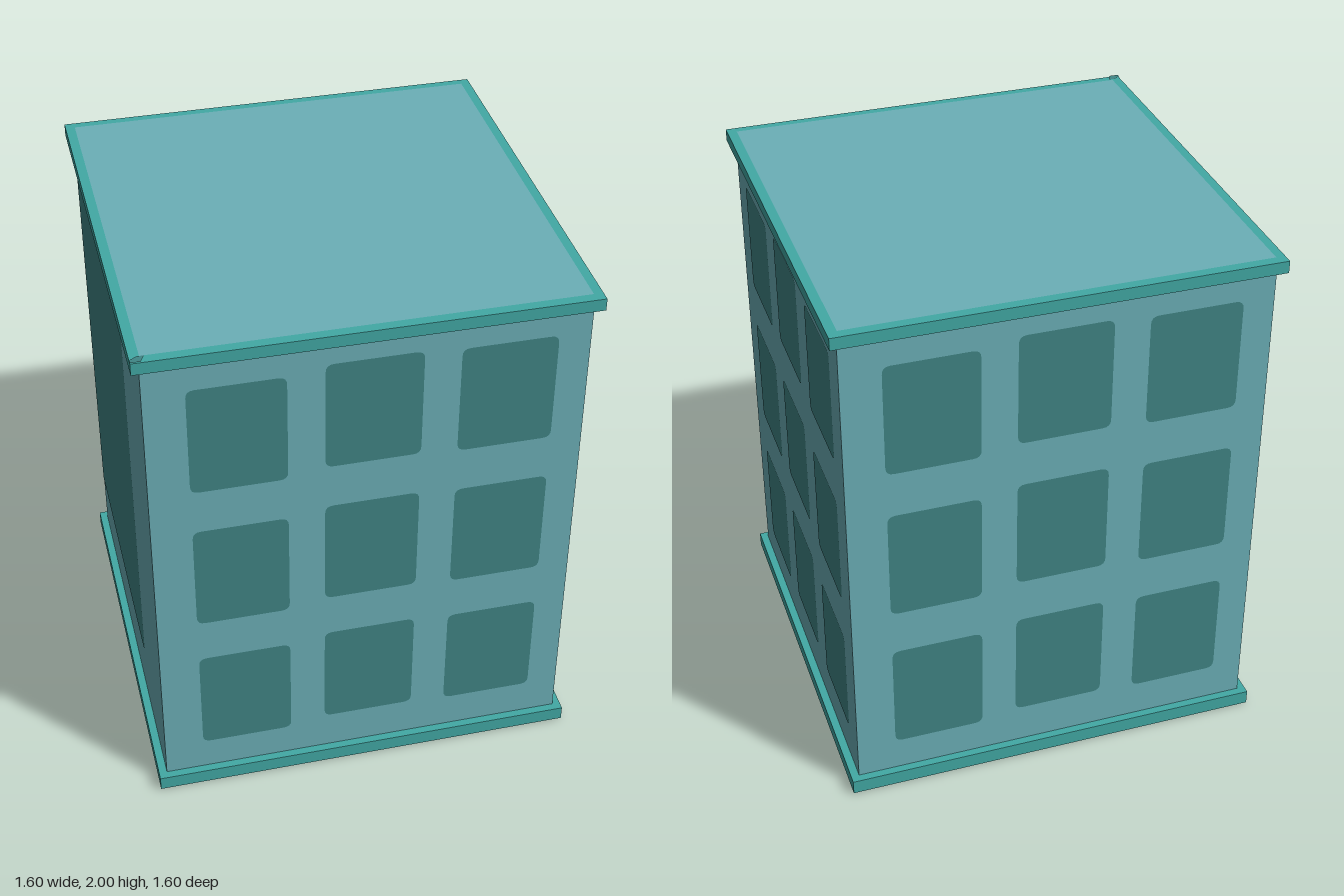
import * as THREE from 'three';

const HALF = 0.77;   // half width of the walls
const RIM = 0.8;     // half width of the base and roof slabs
const PAINT = 0.002; // offset of painted faces

const wallBlue = new THREE.MeshStandardMaterial({ color: 0x6cb0b8 });
const windowGreen = new THREE.MeshStandardMaterial({ color: 0x408585 });
const trimTeal = new THREE.MeshStandardMaterial({ color: 0x42a9a5 });

function add(parent, name, geometry, material) {
  const mesh = new THREE.Mesh(geometry, material);
  mesh.name = name;
  parent.add(mesh);
  return mesh;
}

function slab(parent, name, half, y0, y1, material) {
  const mesh = add(parent, name, new THREE.BoxGeometry(half * 2, y1 - y0, half * 2), material);
  mesh.position.y = (y0 + y1) / 2;
}

// Flat rectangle with its own radius at each corner: [lower left, lower right, upper right, upper left]
function panel(x0, y0, x1, y1, [a, b, c, d]) {
  const s = new THREE.Shape();
  s.moveTo(x0 + a, y0);
  s.lineTo(x1 - b, y0);
  if (b) s.quadraticCurveTo(x1, y0, x1, y0 + b);
  s.lineTo(x1, y1 - c);
  if (c) s.quadraticCurveTo(x1, y1, x1 - c, y1);
  s.lineTo(x0 + d, y1);
  if (d) s.quadraticCurveTo(x0, y1, x0, y1 - d);
  s.lineTo(x0, y0 + a);
  if (a) s.quadraticCurveTo(x0, y0, x0 + a, y0);
  return new THREE.ShapeGeometry(s, 4);
}

// Three by three windows, each column at a slightly different height
function windowGrid(parent) {
  const columns = [[-0.625, 0.192], [-0.155, 0.219], [0.315, 0.206]];
  for (const [x, y] of columns) {
    for (let row = 0; row < 3; row++) {
      const y0 = y + row * 0.607;
      add(parent, 'window', panel(x, y0, x + 0.34, y0 + 0.432, [0.03, 0.03, 0.03, 0.03]), windowGreen);
    }
  }
}

export function createModel() {
  const model = new THREE.Group();
  model.name = 'building';

  // Body with slabs below and above
  slab(model, 'walls', HALF, 0.05, 1.96, wallBlue);
  slab(model, 'baseSlab', RIM, 2 * PAINT, 0.06, trimTeal);
  slab(model, 'roofSlab', RIM, 1.95, 2 - 2 * PAINT, trimTeal);

  // Painted faces of the four walls
  const sides = [['front', 0], ['left', Math.PI / 2], ['back', Math.PI], ['right', -Math.PI / 2]];
  for (const [name, angle] of sides) {
    const holder = new THREE.Group();
    holder.name = name + 'Wall';
    holder.rotation.y = angle;
    const face = new THREE.Group();
    face.name = name + 'Face';
    face.position.z = HALF + PAINT;
    holder.add(face);
    if (name === 'right') {
      add(face, 'largeDarkPanel', panel(-HALF, 0.28, 0.34, 1.95, [0, 0.05, 0, 0]), windowGreen);
    } else {
      windowGrid(face);
    }
    model.add(holder);
  }

  // Roof field inside the teal rim, with a small dark corner
  const roof = new THREE.Group();
  roof.name = 'roofFace';
  roof.rotation.x = -Math.PI / 2;
  roof.position.y = 2 - PAINT;
  add(roof, 'roofField', panel(-0.765, -0.765, 0.765, 0.765, [0, 0, 0, 0]), wallBlue);
  const corner = new THREE.Shape([[-0.8, -0.8], [-0.765, -0.8], [-0.75, -0.768], [-0.775, -0.768], [-0.8, -0.785]]
    .map(([x, y]) => new THREE.Vector2(x, y)));
  add(roof, 'roofCorner', new THREE.ShapeGeometry(corner), windowGreen).position.z = PAINT;
  model.add(roof);

  // Underside field with two dark strips (local y is -z here)
  const under = new THREE.Group();
  under.name = 'undersideFace';
  under.rotation.x = Math.PI / 2;
  under.position.y = PAINT;
  add(under, 'undersideField', panel(-0.785, -0.785, 0.785, 0.785, [0, 0, 0, 0]), wallBlue);
  add(under, 'backStrip', panel(-0.785, -0.785, 0.42, -0.27, [0, 0, 0.05, 0]), windowGreen).position.z = PAINT;
  add(under, 'frontStrip', panel(-0.785, 0.29, 0.34, 0.785, [0, 0.05, 0, 0]), windowGreen).position.z = PAINT;
  model.add(under);

  return model;
}
